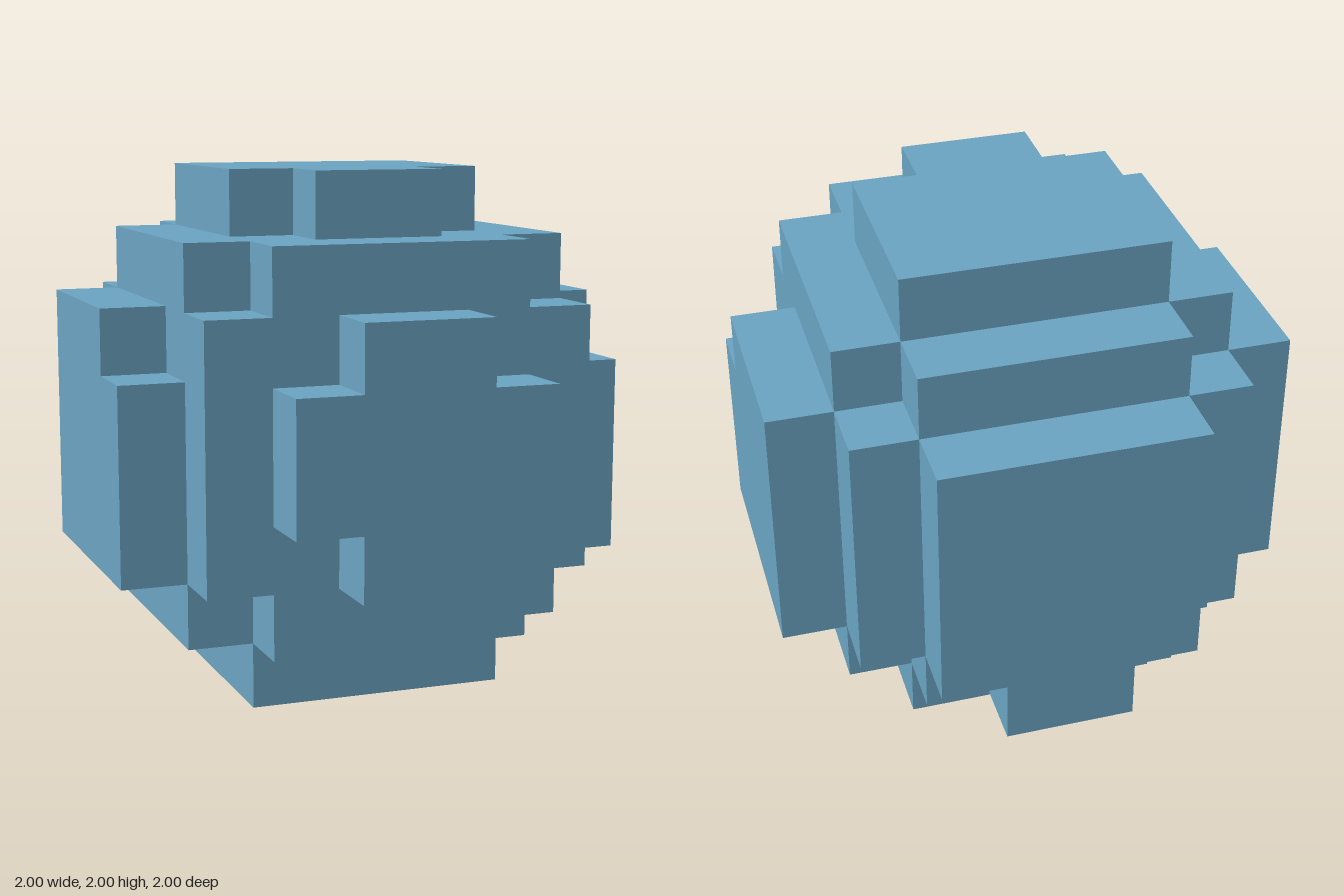
import * as THREE from 'three';

const U = 0.25; // size of one block
const CORNERS = [[1, 1], [-1, 1], [-1, -1], [1, -1]]; // counter-clockwise

// Square slab with a one-block step cut out of the flagged corners.
// Flags follow CORNERS: upper right, upper left, lower left, lower right.
function slab(half, depth, cuts) {
  const points = [];
  CORNERS.forEach(([sx, sy], i) => {
    const inner = half - U;
    if (!cuts[i]) {
      points.push(new THREE.Vector2(sx * half, sy * half));
      return;
    }
    const step = [[half, inner], [inner, inner], [inner, half]];
    if (sx * sy < 0) step.reverse();
    step.forEach(([x, y]) => points.push(new THREE.Vector2(sx * x, sy * y)));
  });
  return new THREE.ExtrudeGeometry(new THREE.Shape(points), { depth, bevelEnabled: false });
}

export function createModel() {
  const group = new THREE.Group();
  const blue = new THREE.MeshStandardMaterial({ color: 0x6ca6c4 });
  blue.name = 'blue';

  const add = (name, geometry, position, rotation = [0, 0, 0]) => {
    const mesh = new THREE.Mesh(geometry, blue);
    mesh.name = name;
    mesh.position.set(...position);
    mesh.rotation.set(...rotation);
    group.add(mesh);
  };

  const Q = Math.PI / 2;
  const all = [1, 1, 1, 1];
  const none = [0, 0, 0, 0];

  // Body: a square middle between two layers with stepped corners
  add('lowerBody', slab(0.75, U, all), [0, 0.25, 0], [-Q, 0, 0]);
  add('middleBody', slab(0.75, 1, none), [0, 0.5, 0], [-Q, 0, 0]);
  add('upperBody', slab(0.75, U, all), [0, 1.5, 0], [-Q, 0, 0]);

  // Raised plates, one on each side
  add('frontPlate', slab(0.5, U, all), [0, 1, 0.75]);
  add('backPlate', slab(0.5, U, none), [0, 1, -0.75], [0, Math.PI, 0]);
  add('topPlate', slab(0.5, U, [0, 0, 1, 1]), [0, 1.75, 0], [-Q, 0, 0]);
  add('bottomPlate', slab(0.5, U, none), [0, 0.25, 0], [Q, 0, 0]);
  add('leftPlate', slab(0.5, U, [0, 1, 0, 0]), [0.75, 1, 0], [0, Q, 0]);
  add('rightPlate', slab(0.5, U, [1, 0, 0, 0]), [-0.75, 1, 0], [0, -Q, 0]);

  // Small tab below the back plate
  add('backTab', new THREE.BoxGeometry(0.5, U, U), [0, 0.375, -0.875]);

  return group;
}
